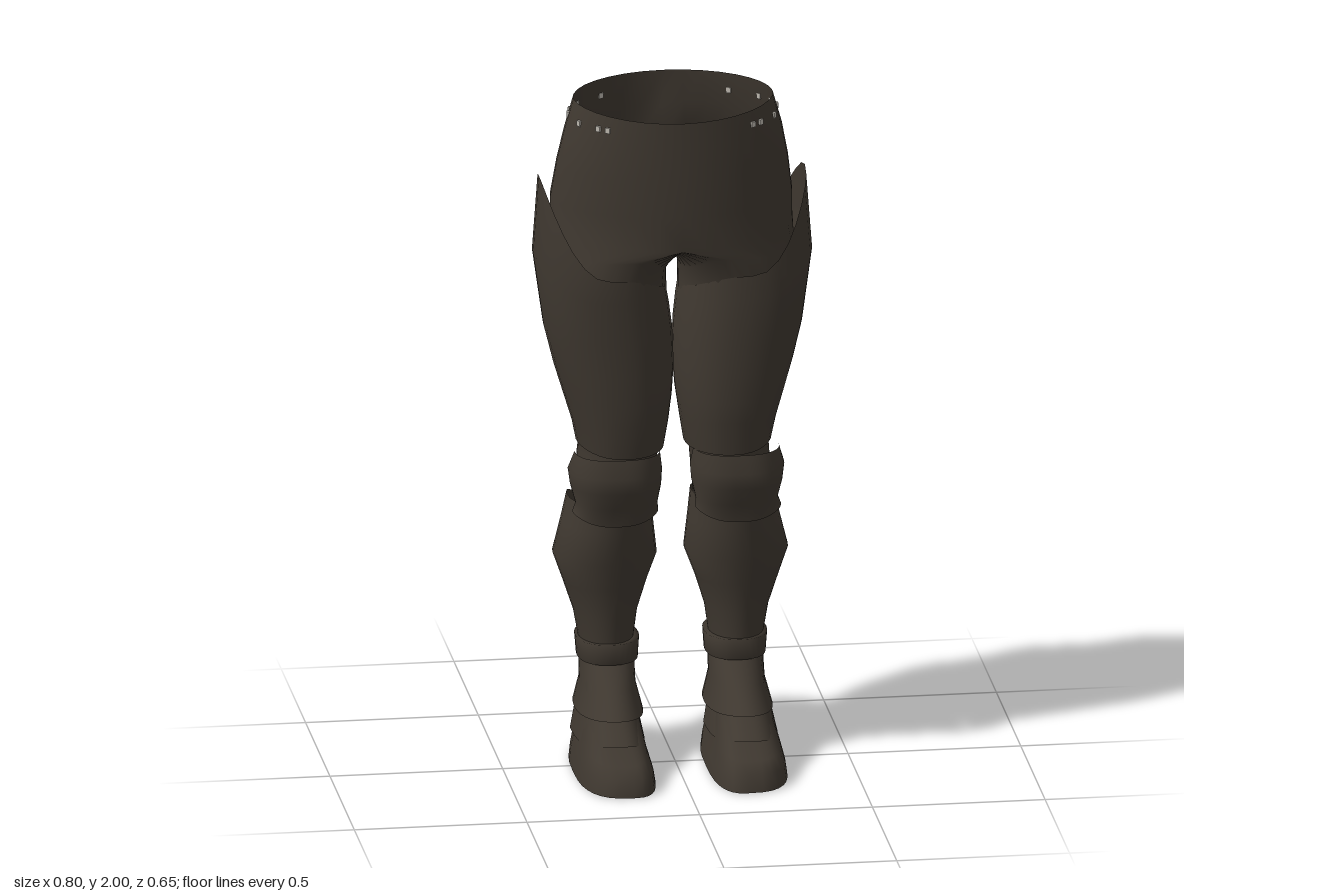
import * as THREE from 'three';
import { mergeGeometries, mergeVertices } from 'three/addons/utils/BufferGeometryUtils.js';

const N = 32;
const power = (v, p) => Math.sign(v) * Math.pow(Math.abs(v), p);

// Point of a ring at angle a: 0 = outer side, 90 = front, 180 = inner side, 270 = back.
// ring: x [inner, outer], z [back, front], y number or [outer, front, inner, back], mid = x of the centre
function ringPoint({ x, z, y, mid }, a, side, p) {
  const c = Math.cos(a), s = Math.sin(a);
  const [yo, yf, yi, yb] = Array.isArray(y) ? y : [y, y, y, y];
  const m = mid ?? (x[0] + x[1]) / 2;
  const pc = power(Math.abs(c) < 1e-6 ? 0 : c, p);
  return [
    side * (m + pc * (c > 0 ? x[1] - m : m - x[0])),
    (c > 0 ? yo : yi) * c * c + (s > 0 ? yf : yb) * s * s,
    (z[0] + z[1]) / 2 + power(s, p) * (z[1] - z[0]) / 2,
  ];
}

// Skin through rings listed from top to bottom; arc < 1 leaves an open shell
function loft(rings, side = 1, { p = 1, arc = 1 } = {}) {
  const pos = [], idx = [], cols = arc === 1 ? N : N + 1;
  rings.forEach((ring) => {
    for (let i = 0; i < cols; i++) {
      pos.push(...ringPoint(ring, (i / N) * arc * Math.PI * 2, side, p));
    }
  });
  for (let r = 0; r < rings.length - 1; r++) {
    for (let i = 0; i < N; i++) {
      const a = r * cols + i, b = r * cols + (i + 1) % cols;
      const c = a + cols, d = b + cols;
      if (side > 0) idx.push(a, b, c, b, d, c);
      else idx.push(a, c, b, b, c, d);
    }
  }
  const g = new THREE.BufferGeometry();
  g.setAttribute('position', new THREE.Float32BufferAttribute(pos, 3));
  g.setIndex(idx);
  g.computeVertexNormals();
  return g;
}

const WAIST = [
  { x: [-0.288, 0.288], z: [-0.262, 0.165], y: [1.995, 1.975, 1.995, 2] },
  { x: [-0.315, 0.315], z: [-0.265, 0.166], y: 1.9 },
  { x: [-0.335, 0.335], z: [-0.298, 0.166], y: 1.8 },
  { x: [-0.35, 0.35], z: [-0.34, 0.165], y: 1.69 },
  { x: [-0.35, 0.35], z: [-0.325, 0.16], y: [1.62, 1.585, 1.62, 1.61] },
];

// The first ring is half of the lowest waist ring plus the crotch saddle
const LEG = [
  { x: [0, 0.35], mid: 0, z: [-0.325, 0.16], y: [1.62, 1.585, 1.53, 1.61] },
  { x: [0.02, 0.355], mid: 0.14, z: [-0.3, 0.14], y: [1.53, 1.55, 1.48, 1.54] },
  { x: [0.018, 0.36], mid: 0.18, z: [-0.272, 0.128], y: 1.42 },
  { x: [0.015, 0.33], z: [-0.24, 0.115], y: 1.25 },
  { x: [0.045, 0.268], z: [-0.187, 0.09], y: 1.0 },
  { x: [0.047, 0.277], z: [-0.19, 0.09], y: 0.93 },
  { x: [0.06, 0.282], z: [-0.212, 0.08], y: 0.8 },
  { x: [0.08, 0.27], z: [-0.22, 0.05], y: 0.65 },
  { x: [0.125, 0.25], z: [-0.19, -0.01], y: 0.38 },
];

const ARMOUR = {
  thighGuard: { opts: { p: 0.9 }, rings: [
    { x: [0.022, 0.385], z: [-0.287, 0.144], y: [1.76, 1.5, 1.43, 1.49] },
    { x: [0.013, 0.402], z: [-0.283, 0.146], y: [1.53, 1.43, 1.38, 1.42] },
    { x: [0.004, 0.372], z: [-0.267, 0.141], y: 1.31 },
    { x: [0, 0.345], z: [-0.25, 0.136], y: 1.2 },
    { x: [0.007, 0.318], z: [-0.227, 0.131], y: 1.11 },
    { x: [0.018, 0.294], z: [-0.205, 0.124], y: [1.03, 1.05, 1.03, 1.08] },
    { x: [0.03, 0.282], z: [-0.2, 0.108], y: [0.97, 0.95, 0.955, 1.04] },
  ] },
  kneePad: { opts: { p: 0.8, arc: 0.5 }, rings: [
    { x: [0.05, 0.295], z: [-0.09, 0.13], y: 0.955 },
    { x: [0.042, 0.312], z: [-0.14, 0.142], y: 0.9 },
    { x: [0.045, 0.306], z: [-0.13, 0.14], y: 0.855 },
    { x: [0.056, 0.292], z: [-0.08, 0.112], y: 0.8 },
    { x: [0.054, 0.302], z: [-0.06, 0.1], y: [0.775, 0.745, 0.775, 0.745] },
  ] },
  shinGuard: { rings: [
    { x: [0.06, 0.298], z: [-0.295, 0.085], y: [0.785, 0.815, 0.785, 0.72] },
    { x: [0.052, 0.315], z: [-0.285, 0.073], y: [0.71, 0.71, 0.71, 0.68] },
    { x: [0.04, 0.34], z: [-0.27, 0.052], y: 0.61 },
    { x: [0.07, 0.312], z: [-0.24, 0.03], y: 0.53 },
    { x: [0.098, 0.282], z: [-0.215, 0.01], y: 0.44 },
    { x: [0.112, 0.264], z: [-0.2, 0.003], y: 0.34 },
  ] },
  ankleBand: { opts: { p: 0.85 }, rings: [
    { x: [0.115, 0.258], z: [-0.198, 0], y: 0.362 },
    { x: [0.094, 0.277], z: [-0.213, 0.02], y: 0.364 },
    { x: [0.098, 0.272], z: [-0.211, 0.02], y: 0.303 },
    { x: [0.115, 0.258], z: [-0.198, 0], y: 0.303 },
  ] },
  ankleGuard: { rings: [
    { x: [0.107, 0.266], z: [-0.198, 0.0], y: 0.305 },
    { x: [0.108, 0.266], z: [-0.235, 0.085], y: [0.235, 0.24, 0.235, 0.235] },
    { x: [0.09, 0.285], z: [-0.28, 0.17], y: [0.16, 0.18, 0.16, 0.165] },
  ] },
  instepPlate: { opts: { p: 0.8, arc: 0.5 }, rings: [
    { x: [0.108, 0.276], z: [-0.3, 0.12], y: [0.18, 0.185, 0.18, 0.18] },
    { x: [0.092, 0.294], z: [-0.385, 0.225], y: [0.09, 0.122, 0.09, 0.1], mid: 0.185 },
  ] },
  boot: { opts: { p: 0.7 }, rings: [
    { x: [0.118, 0.256], z: [-0.195, -0.005], y: 0.3 },
    { x: [0.112, 0.268], z: [-0.205, 0.14], y: [0.17, 0.15, 0.17, 0.2] },
    { x: [0.1, 0.288], z: [-0.212, 0.28], y: [0.09, 0.08, 0.09, 0.14], mid: 0.175 },
    { x: [0.086, 0.3], z: [-0.22, 0.32], y: [0.04, 0.055, 0.04, 0.05], mid: 0.165 },
    { x: [0.08, 0.305], z: [-0.22, 0.33], y: 0.002, mid: 0.165 },
  ] },
  sole: { opts: { p: 0.7 }, rings: [
    { x: [0.08, 0.305], z: [-0.22, 0.33], y: 0.002, mid: 0.165 },
    { x: [0.19, 0.191], z: [0.05, 0.051], y: 0 },
  ] },
};

// Small studs sit on this line, at these angles in degrees
const STUD_LINE = { x: [-0.302, 0.302], z: [-0.264, 0.166], y: 1.945 };
const STUD_ANGLES = [46, 39, 21, -4, -15, -29, -52];

export function createModel() {
  const model = new THREE.Group();
  model.name = 'legArmour';
  const leather = new THREE.MeshStandardMaterial({ color: 0x3f3830, side: THREE.DoubleSide });
  leather.name = 'dark brown leather';
  const metal = new THREE.MeshStandardMaterial({ color: 0xbcb7ae });
  metal.name = 'pale metal';
  const add = (parent, name, geometry, material = leather) => {
    const mesh = new THREE.Mesh(geometry, material);
    mesh.name = name;
    parent.add(mesh);
    return mesh;
  };

  // Trousers: waist and two legs welded together, with a cleft at the back
  const parts = [loft(WAIST), loft(LEG, 1), loft(LEG, -1)];
  parts.forEach((g) => g.deleteAttribute('normal'));
  const trousers = mergeVertices(mergeGeometries(parts), 1e-4);
  const pos = trousers.attributes.position;
  for (let i = 0; i < pos.count; i++) {
    const x = pos.getX(i), y = pos.getY(i), z = pos.getZ(i);
    if (z < -0.2 && y > 1.5 && y < 1.85) pos.setZ(i, z + 0.045 * Math.exp(-((x / 0.06) ** 2)));
  }
  trousers.computeVertexNormals();
  add(model, 'trousers', trousers);

  // Armour, boots and waist studs, mirrored for both legs
  const studShape = new THREE.BoxGeometry(0.014, 0.016, 0.009);
  for (const side of [1, -1]) {
    const leg = new THREE.Group();
    leg.name = side > 0 ? 'leftLegArmour' : 'rightLegArmour';
    for (const [name, { rings, opts }] of Object.entries(ARMOUR)) {
      add(leg, name, loft(rings, side, opts));
    }
    for (const degrees of STUD_ANGLES) {
      const a = THREE.MathUtils.degToRad(degrees);
      const stud = add(leg, 'waistStud', studShape, metal);
      stud.position.set(...ringPoint(STUD_LINE, a, side, 1));
      stud.rotation.y = Math.atan2(side * Math.cos(a) / 0.302, Math.sin(a) / 0.215);
    }
    model.add(leg);
  }
  return model;
}
